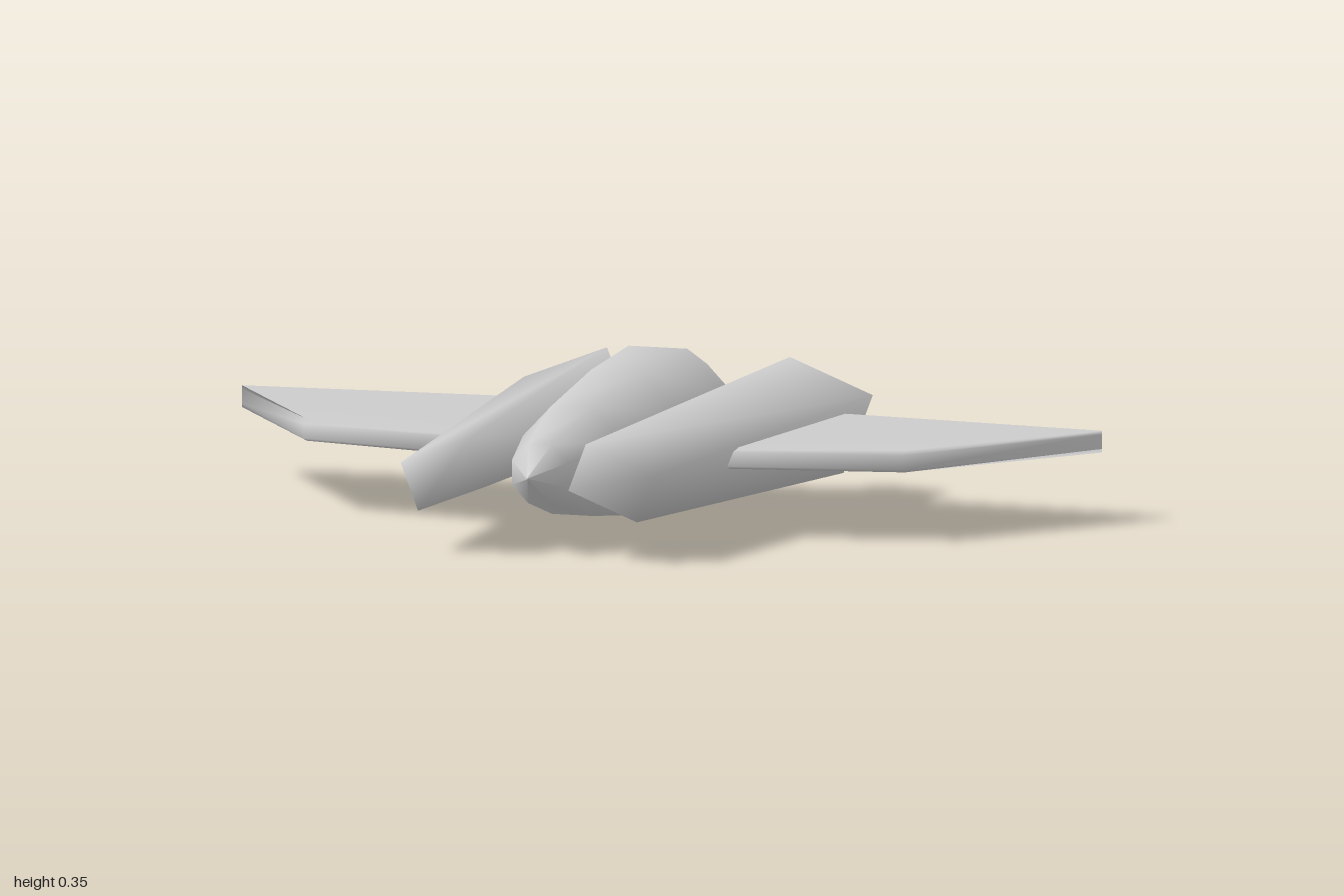
import * as THREE from 'three';

const material = new THREE.MeshStandardMaterial({ color: 0xcccccc, side: THREE.DoubleSide });

// Skin a list of rings (counter-clockwise about the loft axis) and cap both ends, with shared smooth normals
function loft(name, rings) {
  const n = rings[0].length, last = (rings.length - 1) * n, index = [];
  for (let r = 0; r < rings.length - 1; r++) {
    for (let i = 0; i < n; i++) {
      const a = r * n + i, b = r * n + (i + 1) % n;
      index.push(a, b, b + n, a, b + n, a + n);
    }
  }
  for (let i = 1; i < n - 1; i++) {
    index.push(0, i + 1, i, last, last + i, last + i + 1);
  }
  const geometry = new THREE.BufferGeometry();
  geometry.setAttribute('position', new THREE.Float32BufferAttribute(rings.flat(2), 3));
  geometry.setIndex(index);
  geometry.computeVertexNormals();
  const mesh = new THREE.Mesh(geometry, material);
  mesh.name = name;
  return mesh;
}

// Copy rings to the other side, keeping the faces outward
const mirror = (rings) => rings.map((ring) => ring.map(([x, y, z]) => [-x, y, z]).reverse());

// Tilted rectangular section of an engine pod
function podRing(cx, cy, z, w, h) {
  const tilt = -0.37, c = Math.cos(tilt), s = Math.sin(tilt);
  return [[-1, -1], [1, -1], [1, 1], [-1, 1]].map(([u, v]) => {
    const x = u * w / 2, y = v * h / 2;
    return [cx + x * c - y * s, cy + x * s + y * c, z];
  });
}

// Flat-topped octagonal section of the fuselage
function bodyRing([z, rx, ry]) {
  return Array.from({ length: 8 }, (_, i) => {
    const a = (i + 0.5) * Math.PI / 4, k = 1 / Math.cos(Math.PI / 8);
    return [Math.cos(a) * rx * k, 0.178 + Math.sin(a) * ry * k, z];
  });
}

export function createModel() {
  const model = new THREE.Group();

  // Fuselage: z, half width, half height, from tail to nose
  const stations = [
    [-0.55, 0.002, 0.002], [-0.48, 0.11, 0.113], [-0.29, 0.165, 0.174],
    [-0.03, 0.15, 0.157], [0.26, 0.115, 0.12], [0.47, 0.065, 0.066], [0.55, 0.002, 0.002],
  ];
  model.add(loft('fuselage', stations.map(bodyRing)));

  // Engine pods, tapering towards the front
  const pod = [podRing(0.275, 0.18, -0.55, 0.207, 0.188), podRing(0.195, 0.178, 0.55, 0.171, 0.112)];
  model.add(loft('leftEnginePod', pod), loft('rightEnginePod', mirror(pod)));

  // Wings: swept plan with a bevelled leading edge
  const wing = [[0.157, 0.02], [0.165, 0], [0.197, 0], [0.205, 0.02]].map(([y, inset]) => [
    [0.1, y, 0.19 - inset], [0.695, y, 0.065 - inset], [1, y, -0.38], [0.1, y, -0.452],
  ]);
  model.add(loft('leftWing', wing), loft('rightWing', mirror(wing)));

  return model;
}
